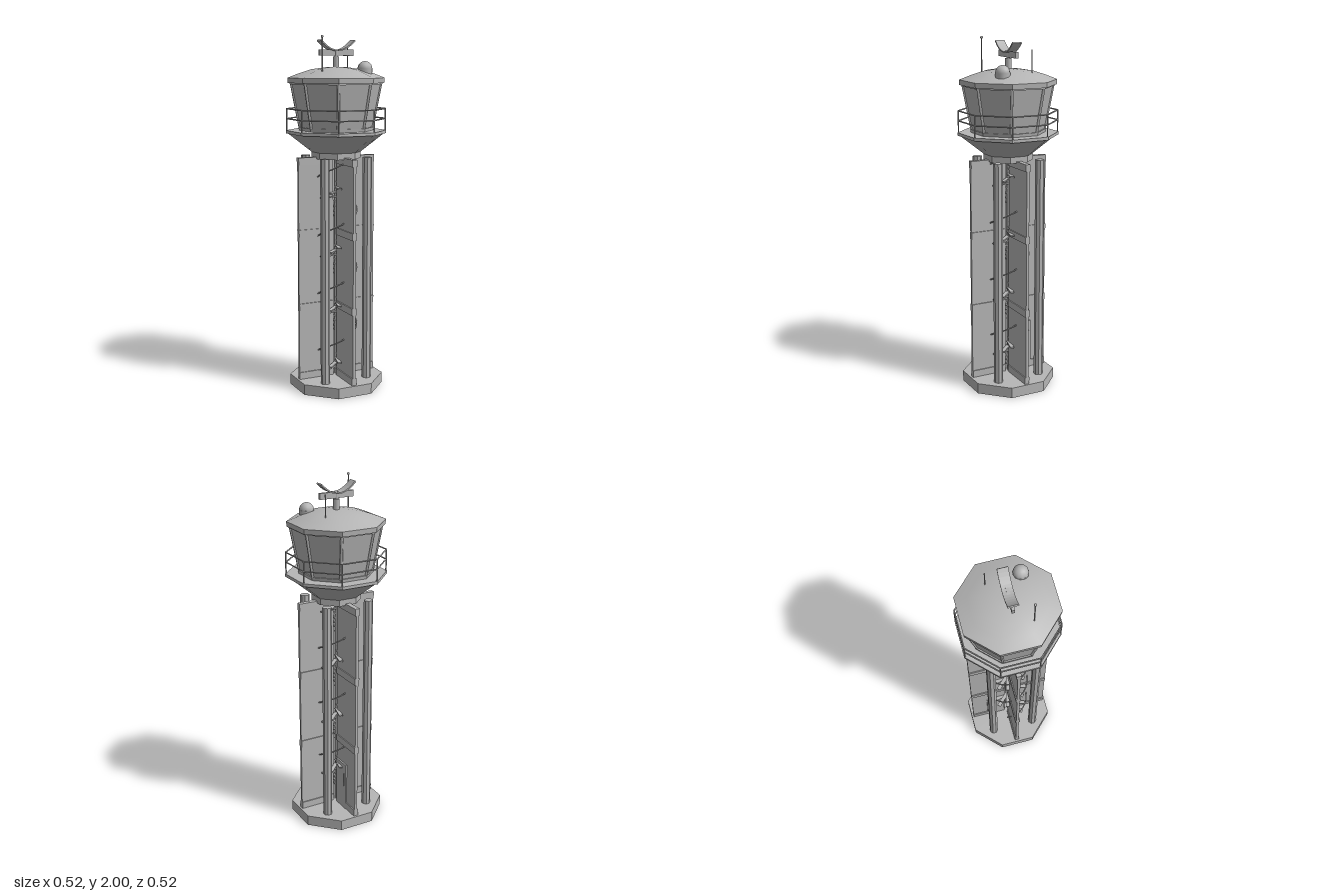
import * as THREE from 'three';

const concrete = new THREE.MeshStandardMaterial({ color: 0xb6b6b6 });
concrete.name = 'concrete grey';
const sheet = new THREE.MeshStandardMaterial({ color: 0xb6b6b6, side: THREE.DoubleSide });
sheet.name = 'sheet grey';

const K = 1 / Math.cos(Math.PI / 8); // octagon apothem to corner radius

export function createModel() {
  const root = new THREE.Group();
  root.name = 'controlTower';

  const add = (name, geo, x = 0, y = 0, z = 0, parent = root, mat = concrete) => {
    const m = new THREE.Mesh(geo, mat);
    m.name = name;
    m.position.set(x, y, z);
    parent.add(m);
    return m;
  };
  const flat = (geo) => {
    const g = geo.toNonIndexed();
    g.computeVertexNormals();
    return g;
  };
  // Octagonal slab given by apothems, flat side to the front
  const octagon = (name, y0, y1, a0, a1, smooth = false) => {
    const g = new THREE.CylinderGeometry(a1 * K, a0 * K, y1 - y0, 8).rotateY(Math.PI / 8);
    return add(name, smooth ? g : flat(g), 0, (y0 + y1) / 2, 0);
  };
  const corner = (i, apothem, y) => {
    const a = Math.PI / 8 + (i * Math.PI) / 4;
    return new THREE.Vector3(Math.sin(a) * apothem * K, y, Math.cos(a) * apothem * K);
  };
  // Straight bar between two points
  const bar = (name, p, q, r, sides = 6, parent = root) => {
    const d = q.clone().sub(p);
    const m = add(name, new THREE.CylinderGeometry(r, r, d.length(), sides), 0, 0, 0, parent);
    m.position.copy(p).add(q).multiplyScalar(0.5);
    m.quaternion.setFromUnitVectors(new THREE.Vector3(0, 1, 0), d.normalize());
    return m;
  };

  // Base and shaft
  octagon('base', 0, 0.06, 0.247, 0.247);
  add('centrePole', new THREE.CylinderGeometry(0.009, 0.009, 1.3, 8), 0, 0.7, 0);
  for (let i = 0; i < 4; i++) {
    const fin = new THREE.Group();
    fin.name = 'finWall';
    fin.rotation.y = (i * Math.PI) / 2;
    root.add(fin);
    add('finPanel', new THREE.BoxGeometry(0.213, 1.275, 0.016), 0.1285, 0.6975, 0, fin);
    for (const y of [0.08, 0.485, 0.91, 1.315])
      add('finBeam', new THREE.BoxGeometry(0.208, 0.04, 0.028), 0.131, y, 0, fin);
    const sx = i % 2 ? 1 : -1, sz = i < 2 ? 1 : -1;
    add('column', flat(new THREE.CylinderGeometry(0.026, 0.026, 1.275, 8).rotateY(Math.PI / 8)),
      sx * 0.13, 0.6975, sz * 0.13);
  }

  // Door through the rear wall, with a handle on each side
  add('door', new THREE.BoxGeometry(0.034, 0.29, 0.11), 0, 0.205, -0.085);
  for (const s of [-1, 1])
    add('doorHandle', new THREE.BoxGeometry(0.005, 0.08, 0.005), s * 0.019, 0.25, -0.125);

  // Spiral stair: twelve treads per turn and a handrail
  const PITCH = 0.335, stairY = 0.17;
  const stair = new THREE.Group();
  stair.name = 'spiralStair';
  root.add(stair);
  for (let n = -3; n < 41; n++) {
    const a = ((n + 0.5) / 12) * Math.PI * 2;
    const y = stairY + ((n + 0.5) / 12) * PITCH;
    if (y > 1.31) break;
    const t = add('tread', new THREE.BoxGeometry(0.022, 0.007, 0.105),
      Math.sin(a) * 0.0575, y, Math.cos(a) * 0.0575, stair);
    t.rotation.y = a;
  }
  const railPts = [];
  for (let y = 0.2; y <= 1.335; y += PITCH / 20) {
    const a = ((y - 0.3) / PITCH) * Math.PI * 2;
    railPts.push(new THREE.Vector3(Math.sin(a) * 0.118, y, Math.cos(a) * 0.118));
  }
  add('handrail', new THREE.TubeGeometry(new THREE.CatmullRomCurve3(railPts), 140, 0.004, 6),
    0, 0, 0, stair);

  // Neck, flared underside and gallery deck
  octagon('neck', 1.325, 1.365, 0.128, 0.128);
  octagon('flare', 1.36, 1.465, 0.128, 0.252, true);
  octagon('galleryDeck', 1.463, 1.48, 0.26, 0.26);

  // Gallery railing
  for (let i = 0; i < 8; i++) {
    bar('railingPost', corner(i, 0.255, 1.48), corner(i, 0.255, 1.602), 0.004);
    for (const y of [1.545, 1.6])
      bar('railingBar', corner(i, 0.255, y), corner(i + 1, 0.255, y), 0.004);
  }

  // Control cabin, leaning outward, with corner mullions
  octagon('cabin', 1.478, 1.745, 0.184, 0.231);
  octagon('cabinSill', 1.478, 1.498, 0.192, 0.195);
  for (let i = 0; i < 8; i++)
    bar('mullion', corner(i, 0.184, 1.48), corner(i, 0.231, 1.745), 0.008);

  // Roof: eaves and a shallow cap
  octagon('eavesLower', 1.735, 1.75, 0.238, 0.238);
  octagon('eaves', 1.742, 1.77, 0.248, 0.25);
  const roofProfile = [[0.25, 1.77], [0.19, 1.795], [0.13, 1.816], [0.06, 1.827], [0, 1.83]]
    .reverse().map(([r, y]) => new THREE.Vector2(r * K, y));
  add('roof', new THREE.LatheGeometry(roofProfile, 8).rotateY(Math.PI / 8), 0, 0, 0, root, sheet);

  // Small dome and antennas
  add('roofDome', new THREE.SphereGeometry(0.041, 10, 6, 0, Math.PI * 2, 0, Math.PI / 2),
    0.128, 1.82, 0.099);
  add('domeBase', new THREE.CylinderGeometry(0.041, 0.041, 0.03, 10), 0.128, 1.806, 0.099);
  add('tallAntenna', new THREE.CylinderGeometry(0.0035, 0.0035, 0.19, 6), -0.13, 1.9, 0.098);
  add('antennaTip', new THREE.SphereGeometry(0.008, 6, 5), -0.13, 1.992, 0.098);
  add('shortAntenna', new THREE.CylinderGeometry(0.003, 0.003, 0.13, 6), 0.113, 1.87, -0.086);

  // Radar: mast, cross bar and curved reflector
  add('radarMast', new THREE.CylinderGeometry(0.018, 0.018, 0.06, 8), 0, 1.855, 0);
  add('radarNeck', new THREE.CylinderGeometry(0.011, 0.011, 0.04, 8), 0, 1.9, 0);
  add('radarBar', new THREE.BoxGeometry(0.205, 0.034, 0.016), 0, 1.907, 0);
  const arc = new THREE.Shape();
  const N = 12;
  for (let i = 0; i <= N; i++) {
    const u = (i / N) * 2 - 1;
    if (i) arc.lineTo(u * 0.105, 1.915 + 0.055 * u * u);
    else arc.moveTo(u * 0.105, 1.915 + 0.055 * u * u);
  }
  for (let i = N; i >= 0; i--) {
    const u = (i / N) * 2 - 1;
    arc.lineTo(u * 0.1, 1.922 + 0.055 * u * u);
  }
  add('radarReflector',
    new THREE.ExtrudeGeometry(arc, { depth: 0.056, bevelEnabled: false }), 0, 0, -0.028);

  return root;
}
